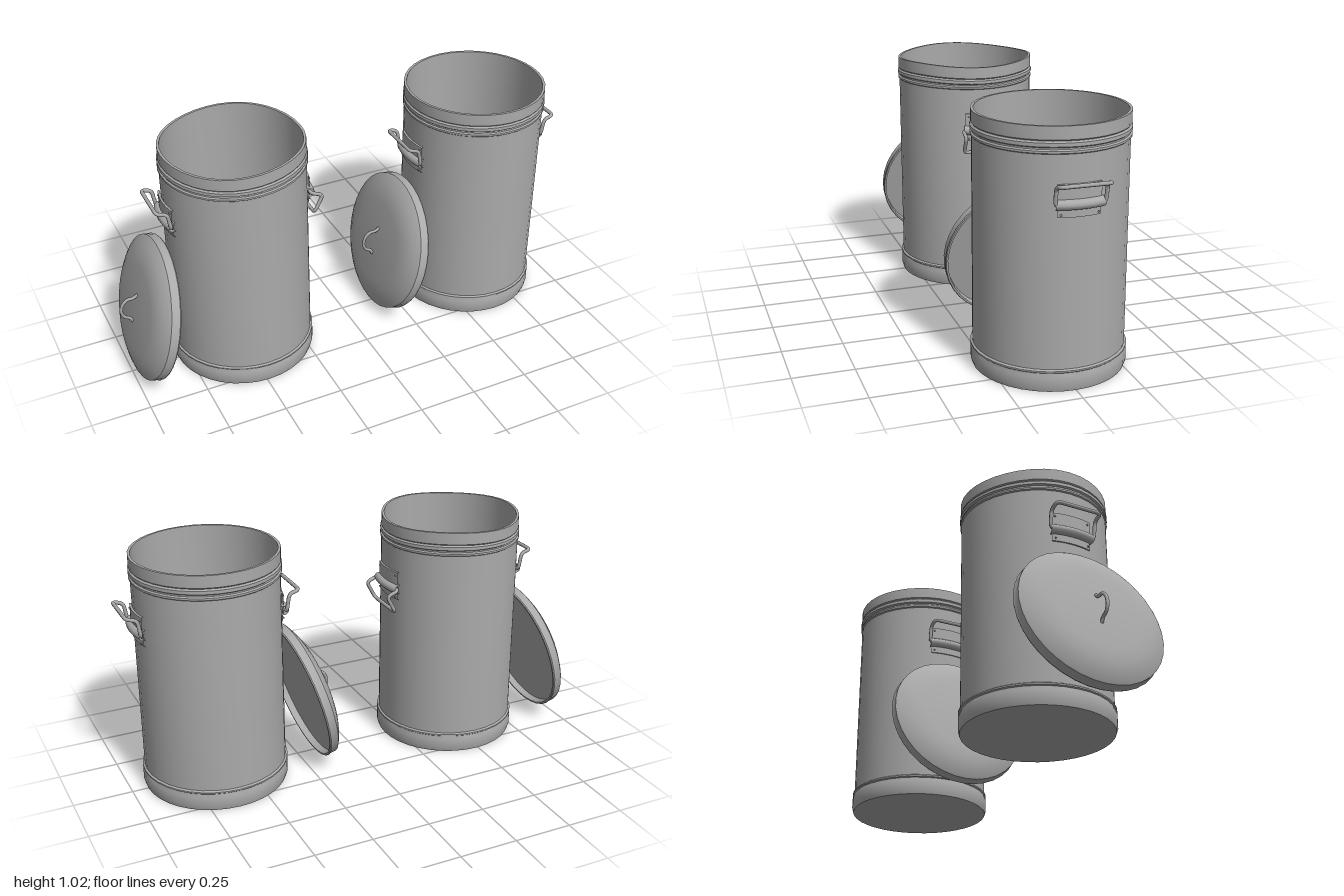
import * as THREE from 'three';
import { toCreasedNormals } from 'three/addons/utils/BufferGeometryUtils.js';

const steel = new THREE.MeshStandardMaterial({ color: 0xaaaaaa, side: THREE.DoubleSide });
steel.name = 'galvanised steel';

const R = 0.3; // body radius

function mesh(name, geometry) {
  const m = new THREE.Mesh(geometry, steel);
  m.name = name;
  return m;
}

function lathe(points, segments = 32, start = 0, length = Math.PI * 2) {
  const profile = points.map(([r, y]) => new THREE.Vector2(r, y));
  return new THREE.LatheGeometry(profile, segments, start, length);
}

// Bent wire through the given points, with slightly rounded corners
function wire(points, radius) {
  const v = points.map((p) => new THREE.Vector3(...p));
  const path = new THREE.CurvePath();
  let from = v[0];
  for (let i = 1; i < v.length - 1; i++) {
    const a = v[i].clone().lerp(v[i - 1], Math.min(0.4, 0.02 / v[i].distanceTo(v[i - 1])));
    const b = v[i].clone().lerp(v[i + 1], Math.min(0.4, 0.02 / v[i].distanceTo(v[i + 1])));
    path.add(new THREE.LineCurve3(from, a));
    path.add(new THREE.QuadraticBezierCurve3(a, v[i], b));
    from = b;
  }
  path.add(new THREE.LineCurve3(from, v[v.length - 1]));
  return new THREE.TubeGeometry(path, 64, radius, 8);
}

// Can shell: base band, body, beads below the rim, inner wall and floor
function canBody(dent) {
  const g = lathe([
    [0, 0], [0.302, 0], [0.308, 0.02], [0.308, 0.06], [0.303, 0.075],
    [0.308, 0.079], [0.308, 0.085], [R, 0.09],
    [R, 0.919], [0.305, 0.923], [0.305, 0.931], [0.299, 0.936],
    [0.299, 0.942], [0.306, 0.947], [0.306, 0.961], [0.299, 0.967],
    [0.303, 0.972], [0.303, 1.022], [0.292, 1.022],
    [0.292, 0.05], [0, 0.05],
  ], 36);
  // Battered upper edge
  const p = g.attributes.position;
  for (let i = 0; i < p.count; i++) {
    const x = p.getX(i), y = p.getY(i), z = p.getZ(i);
    const k = dent * THREE.MathUtils.smoothstep(y, 0.85, 1.02);
    const a = Math.atan2(z, x);
    const s = 1 - k * 0.02 * (1 + Math.sin(2 * a + 0.6)) / 2;
    p.setXYZ(i, x * s, y - k * 0.005 * (1 + Math.cos(3 * a)), z * s);
  }
  return mesh('canBody', toCreasedNormals(g, 0.6));
}

// Side handle on the +x side: curved plate, hinge roll, rivets and wire bail
function sideHandle(folded) {
  const group = new THREE.Group();
  group.name = 'sideHandle';
  const arc = (half) => [Math.PI / 2 - half, half * 2];

  const upper = lathe([[R, 0.72], [0.309, 0.72], [0.309, 0.81], [R, 0.81]], 8, ...arc(0.28));
  const lower = lathe([[R, 0.686], [0.306, 0.686], [0.306, 0.74], [R, 0.74]], 8, ...arc(0.28));
  group.add(mesh('handlePlate', toCreasedNormals(upper, 0.6)));
  group.add(mesh('handlePlateFlap', toCreasedNormals(lower, 0.6)));

  const roll = lathe([
    [R, 0.715], [0.319, 0.718], [0.328, 0.727], [0.33, 0.737],
    [0.326, 0.747], [0.316, 0.754], [R, 0.756],
  ], 10, ...arc(0.3));
  group.add(mesh('hingeRoll', roll));

  for (const side of [-1, 1]) {
    for (const y of [0.697, 0.795]) {
      const rivet = mesh('rivet', new THREE.SphereGeometry(0.004, 8, 6));
      rivet.position.set(0.301, y, side * 0.073);
      group.add(rivet);
    }
  }

  const side = folded
    ? [[0.3, 0.735], [0.352, 0.715], [0.312, 0.638]]
    : [[0.306, 0.735], [0.318, 0.808], [0.362, 0.82]];
  const right = side.map(([x, y]) => [x, y, 0.098]);
  const left = side.map(([x, y]) => [x, y, -0.098]).reverse();
  const pin = [side[0][0], side[0][1]];
  group.add(mesh('bail', wire([[...pin, 0.06], ...right, ...left, [...pin, -0.06]], 0.008)));
  return group;
}

// Lid with rolled rim, shallow dome and wire grip, leaning on the -x side
function lid() {
  const group = new THREE.Group();
  group.name = 'lid';
  const shell = lathe([
    [0, 0.03], [0.296, 0.03], [0.298, 0], [0.306, 0], [0.309, 0.005],
    [0.306, 0.012], [0.306, 0.04], [0.297, 0.047], [0.27, 0.062],
    [0.235, 0.077], [0.18, 0.084], [0, 0.088],
  ], 36);
  group.add(mesh('lidShell', toCreasedNormals(shell, 0.5)));

  const grip = new THREE.CatmullRomCurve3([
    [-0.066, 0.084, 0], [-0.05, 0.1, 0], [-0.042, 0.125, 0], [-0.018, 0.142, 0],
    [0.018, 0.142, 0], [0.042, 0.125, 0], [0.05, 0.1, 0], [0.066, 0.084, 0],
  ].map((p) => new THREE.Vector3(...p)));
  group.add(mesh('lidGrip', new THREE.TubeGeometry(grip, 32, 0.007, 8)));

  group.rotation.z = THREE.MathUtils.degToRad(76.1);
  group.position.set(-0.383, 0.308, 0);
  return group;
}

function trashCan(name, x, battered) {
  const can = new THREE.Group();
  can.name = name;
  const leftHandle = sideHandle(battered);
  const rightHandle = sideHandle(false);
  rightHandle.rotation.y = Math.PI;
  can.add(canBody(battered ? 1 : 0), leftHandle, rightHandle, lid());
  can.position.x = x;
  return can;
}

export function createModel() {
  const model = new THREE.Group();
  model.name = 'trashCans';
  model.add(trashCan('batteredCan', -0.49, true), trashCan('cleanCan', 0.63, false));
  return model;
}
